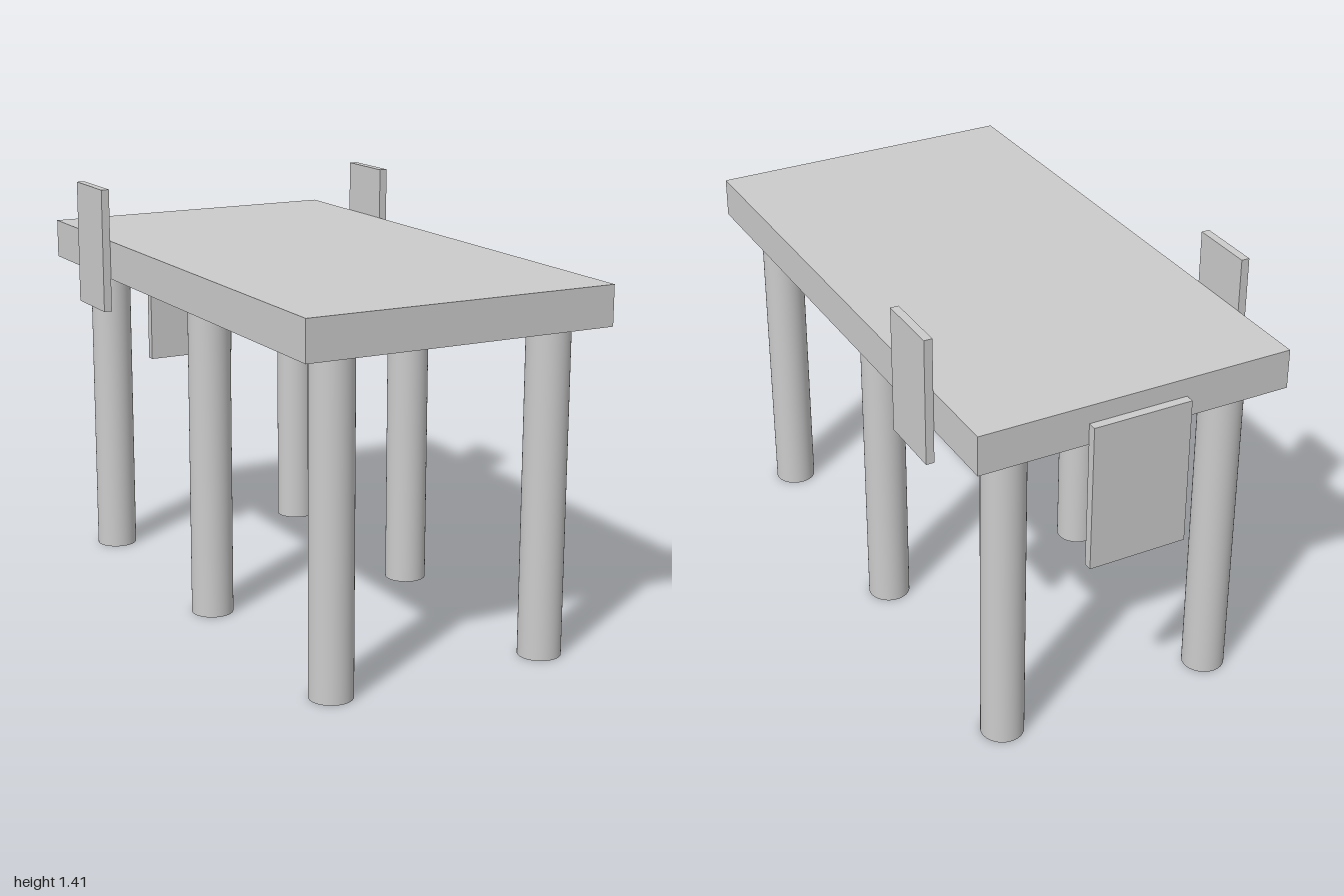
import * as THREE from 'three';

const material = new THREE.MeshStandardMaterial({ color: 0xcccccc });
const tubeMaterial = new THREE.MeshStandardMaterial({ color: 0xcccccc, side: THREE.DoubleSide });

// Box given by its lower and upper corners
function box(name, [x0, y0, z0], [x1, y1, z1]) {
  const mesh = new THREE.Mesh(new THREE.BoxGeometry(x1 - x0, y1 - y0, z1 - z0), material);
  mesh.position.set((x0 + x1) / 2, (y0 + y1) / 2, (z0 + z1) / 2);
  mesh.name = name;
  return mesh;
}

export function createModel() {
  const table = new THREE.Group();
  table.name = 'table';
  const underside = 1.098;

  // Thick slab top
  table.add(box('tableTop', [-0.54, underside, -0.97], [0.54, 1.232, 1]));

  // Upright panels on both sides and a hanging panel at the back
  table.add(box('leftPanel', [0.54, 0.983, -0.686], [0.568, 1.412, -0.457]));
  table.add(box('rightPanel', [-0.568, 0.983, -0.686], [-0.54, 1.412, -0.457]));
  table.add(box('backPanel', [-0.17, 0.664, -1], [0.17, 1.17, -0.97]));

  // Three pairs of hollow round legs, open at the foot
  const legGeometry = new THREE.CylinderGeometry(0.0715, 0.0715, underside, 48, 1, true);
  const rows = { front: 0.874, middle: 0.018, back: -0.84 };
  for (const [row, z] of Object.entries(rows)) {
    for (const side of [-1, 1]) {
      const leg = new THREE.Mesh(legGeometry, tubeMaterial);
      leg.name = `${row}${side > 0 ? 'Left' : 'Right'}Leg`;
      leg.position.set(side * 0.386, underside / 2, z);
      table.add(leg);
    }
  }
  return table;
}
